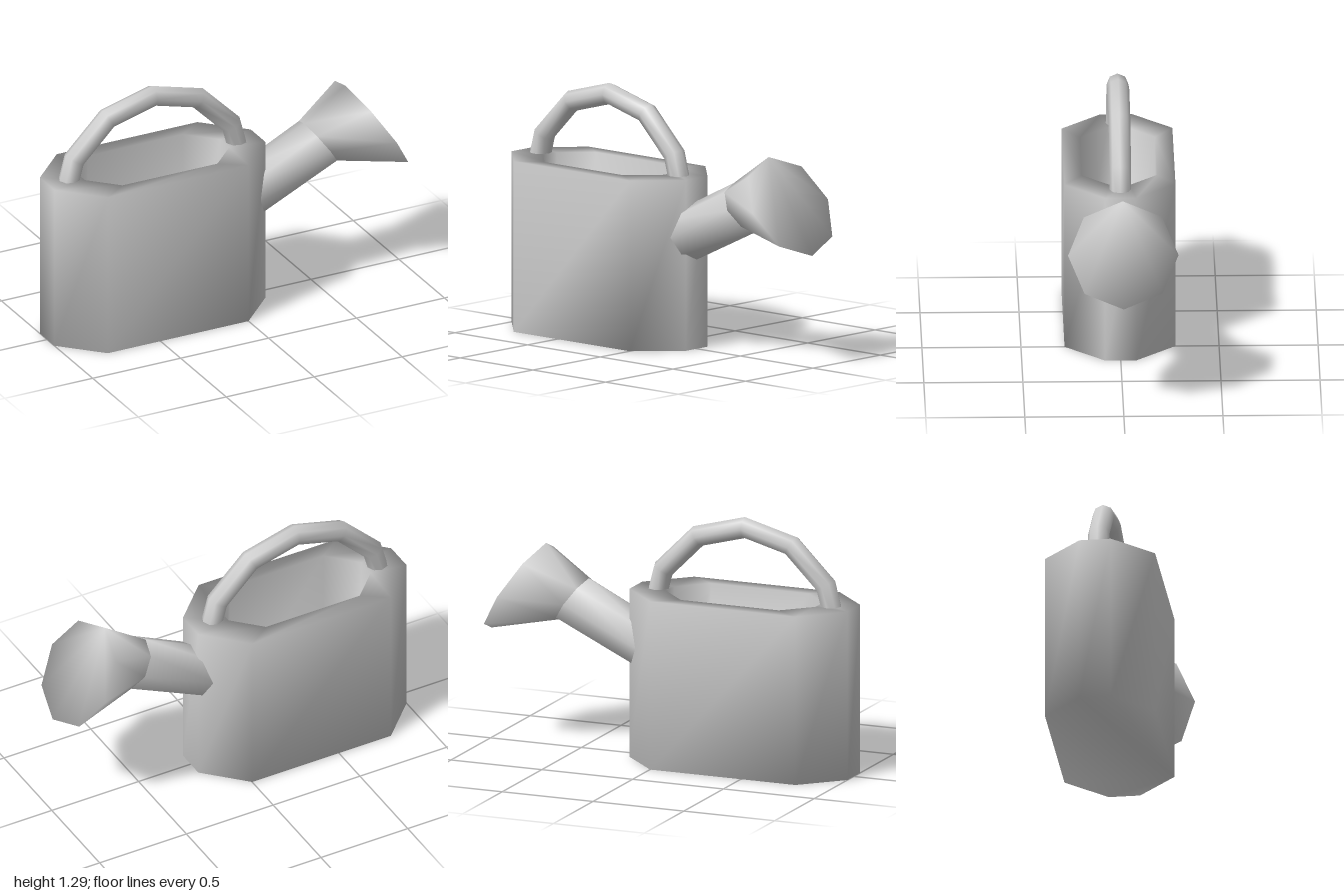
import * as THREE from 'three';

const material = new THREE.MeshStandardMaterial({ color: 0xcccccc });

// Skin a list of 8-point rings (counter-clockwise about the direction of travel) and cap both ends.
function loft(name, rings) {
  const n = rings[0].length;
  const last = (rings.length - 1) * n;
  const points = rings.flat();
  const index = [];
  for (let i = 0; i < rings.length - 1; i++) {
    for (let j = 0; j < n; j++) {
      const a = i * n + j, b = i * n + (j + 1) % n;
      index.push(a, b, b + n, a, b + n, a + n);
    }
  }
  for (let j = 1; j < n - 1; j++) {
    index.push(0, j + 1, j);
    index.push(last, last + j, last + j + 1);
  }
  const geometry = new THREE.BufferGeometry().setFromPoints(points);
  geometry.setIndex(index);
  geometry.computeVertexNormals();
  const mesh = new THREE.Mesh(geometry, material);
  mesh.name = name;
  return mesh;
}

// Horizontal chamfered rectangle: half length, half width and corner cut.
function bodyRing(y, cx, hx, hz, cut) {
  const half = [[hx - cut, hz], [hx, hz - cut], [hx, cut - hz], [hx - cut, -hz]];
  return [...half, ...half.map(([x, z]) => [-x, -z])]
    .map(([x, z]) => new THREE.Vector3(cx + x, y, z));
}

// Octagon centred on z = 0 whose axis leans up from +x by the given angle.
function tiltedRing(x, y, radius, degrees) {
  const a = THREE.MathUtils.degToRad(degrees);
  return Array.from({ length: 8 }, (_, i) => {
    const t = i * Math.PI / 4;
    const up = radius * Math.cos(t);
    return new THREE.Vector3(x - Math.sin(a) * up, y + Math.cos(a) * up, radius * Math.sin(t));
  });
}

export function createModel() {
  const group = new THREE.Group();
  group.name = 'wateringCan';

  // Thick-walled open tank
  group.add(loft('body', [
    bodyRing(0, -0.4, 0.6, 0.28, 0.2),
    bodyRing(0.875, -0.4, 0.6, 0.28, 0.2),
    bodyRing(0.875, -0.4, 0.41, 0.19, 0.14),
    bodyRing(0.06, -0.4, 0.41, 0.19, 0.14),
  ]));

  // Spout pipe, rooted inside the tank wall
  const joint = tiltedRing(0.54, 0.77, 0.14, 35);
  group.add(loft('spout', [tiltedRing(0.11, 0.564, 0.135, 25.6), joint]));

  // Flared sprinkler head
  group.add(loft('sprinklerHead', [joint, tiltedRing(0.845, 0.81, 0.279, 32.5)]));

  // Half-ring handle sunk into the rim at both ends
  const handle = new THREE.Mesh(new THREE.TorusGeometry(0.515, 0.055, 8, 6, Math.PI), material);
  handle.name = 'handle';
  handle.position.set(-0.4, 0.72, 0);
  group.add(handle);

  return group;
}
